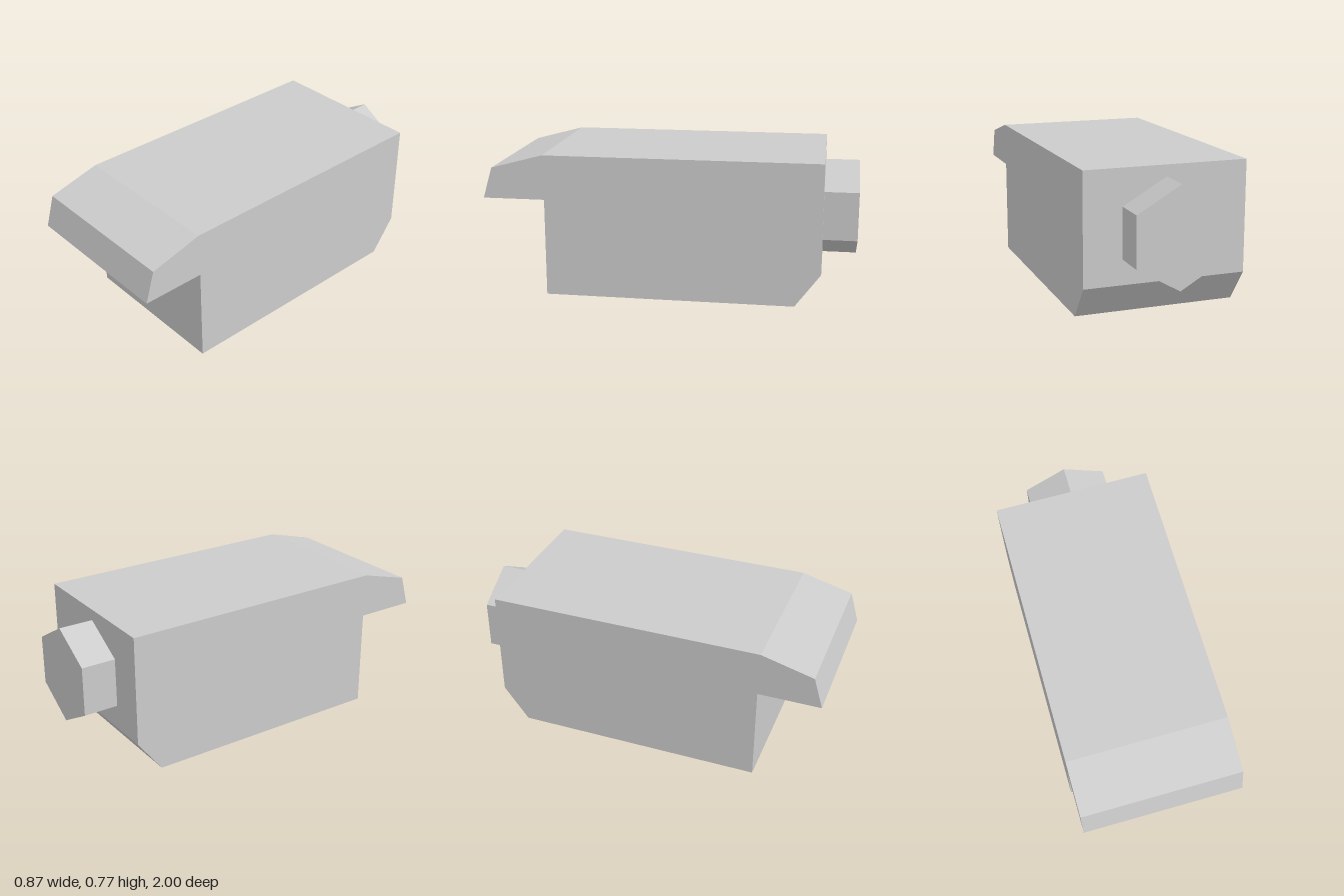
import * as THREE from 'three';

const HALF_WIDTH = 0.433;
const BACK = -0.815;

export function createModel() {
  const group = new THREE.Group();
  const material = new THREE.MeshStandardMaterial({ color: 0xcccccc, flatShading: true });
  const add = (name, geometry) => {
    const mesh = new THREE.Mesh(geometry, material);
    mesh.name = name;
    group.add(mesh);
  };

  // Body: side profile (z, y) with front overhang and chamfered lower back, extruded across x
  const profile = [
    [0.665, 0], [0.665, 0.53], [1, 0.53], [0.95, 0.697],
    [0.67, 0.772], [BACK, 0.772], [BACK, 0.182], [-0.68, 0],
  ].map(([z, y]) => new THREE.Vector2(z, y));
  const body = new THREE.ExtrudeGeometry(new THREE.Shape(profile), {
    depth: HALF_WIDTH * 2,
    bevelEnabled: false,
  });
  body.translate(0, 0, -HALF_WIDTH).rotateY(-Math.PI / 2);
  add('body', body);

  // Hexagonal boss on the back, one corner pointing up
  const boss = new THREE.CylinderGeometry(0.265, 0.265, 1 + BACK, 6);
  boss.rotateX(Math.PI / 2).translate(0, 0.447, (BACK - 1) / 2);
  add('rearBoss', boss);

  return group;
}
